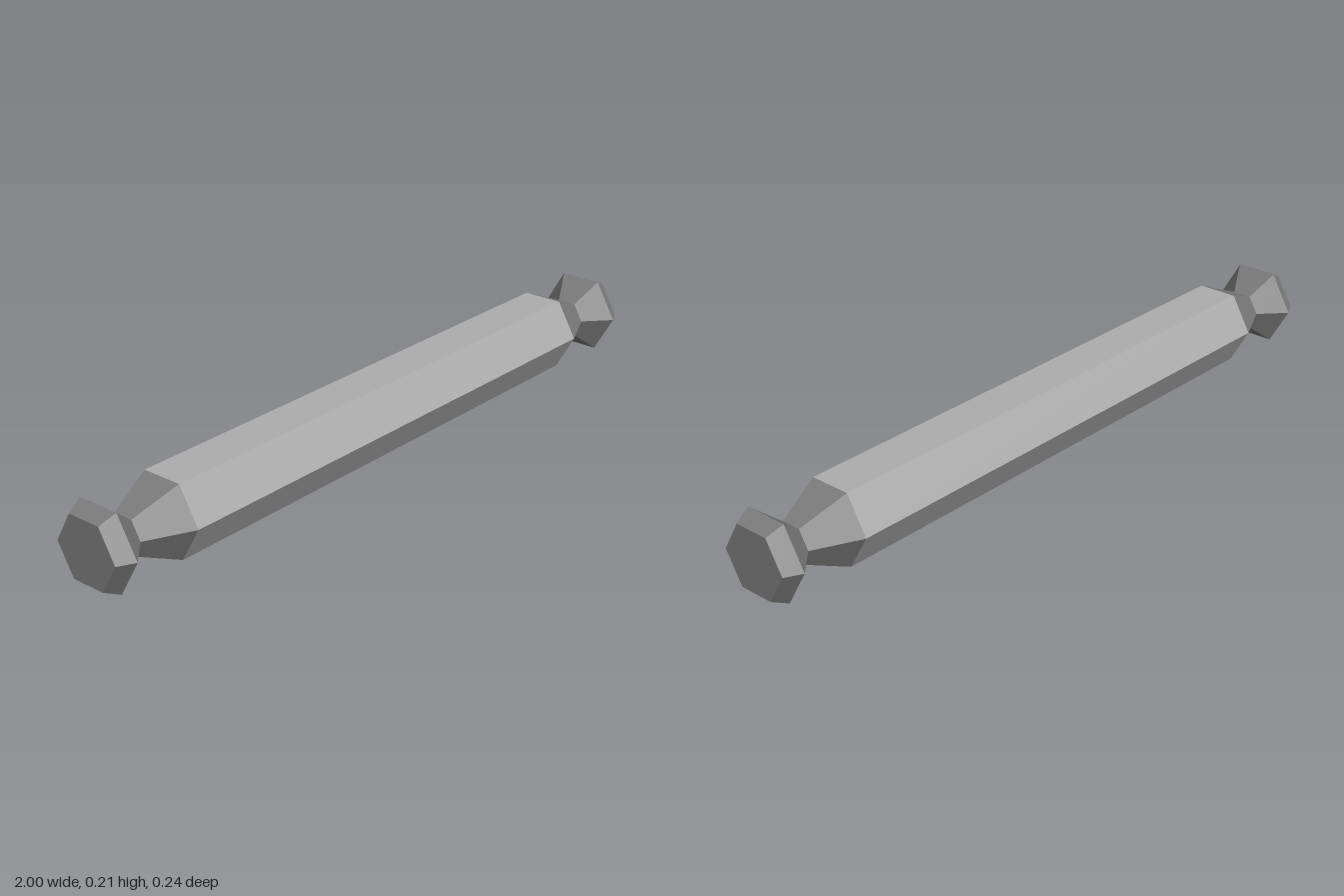
import * as THREE from 'three';

const SIDES = 6;
const CENTRE_Y = 0.105;

export function createModel() {
  const group = new THREE.Group();
  group.name = 'hexagonalBar';
  const shaftGrey = new THREE.MeshStandardMaterial({ color: 0xadadad, flatShading: true });
  const endGrey = new THREE.MeshStandardMaterial({ color: 0x7b7b7b, flatShading: true });

  // Six-sided turned part along x, from [position, radius] pairs in rising order
  const addTurned = (name, material, profile) => {
    const points = profile.map(([x, r]) => new THREE.Vector2(r, x));
    const geometry = new THREE.LatheGeometry(points, SIDES).rotateZ(-Math.PI / 2);
    const mesh = new THREE.Mesh(geometry, material);
    mesh.name = name;
    mesh.position.y = CENTRE_Y;
    group.add(mesh);
    return mesh;
  };

  // Long straight shaft
  addTurned('shaft', shaftGrey, [[-0.76, 0.115], [0.76, 0.115]]);

  // Darker ends: taper to a narrow neck, then a flared knob with a bevelled flat face
  for (const [side, turn] of [['left', 0], ['right', Math.PI]]) {
    const taper = addTurned(side + 'Taper', endGrey, [[0.76, 0.115], [0.885, 0.055]]);
    const knob = addTurned(side + 'Knob', endGrey, [[0.885, 0.055], [0.955, 0.121], [1, 0.097], [1, 0]]);
    taper.rotation.y = knob.rotation.y = turn;
  }

  return group;
}
